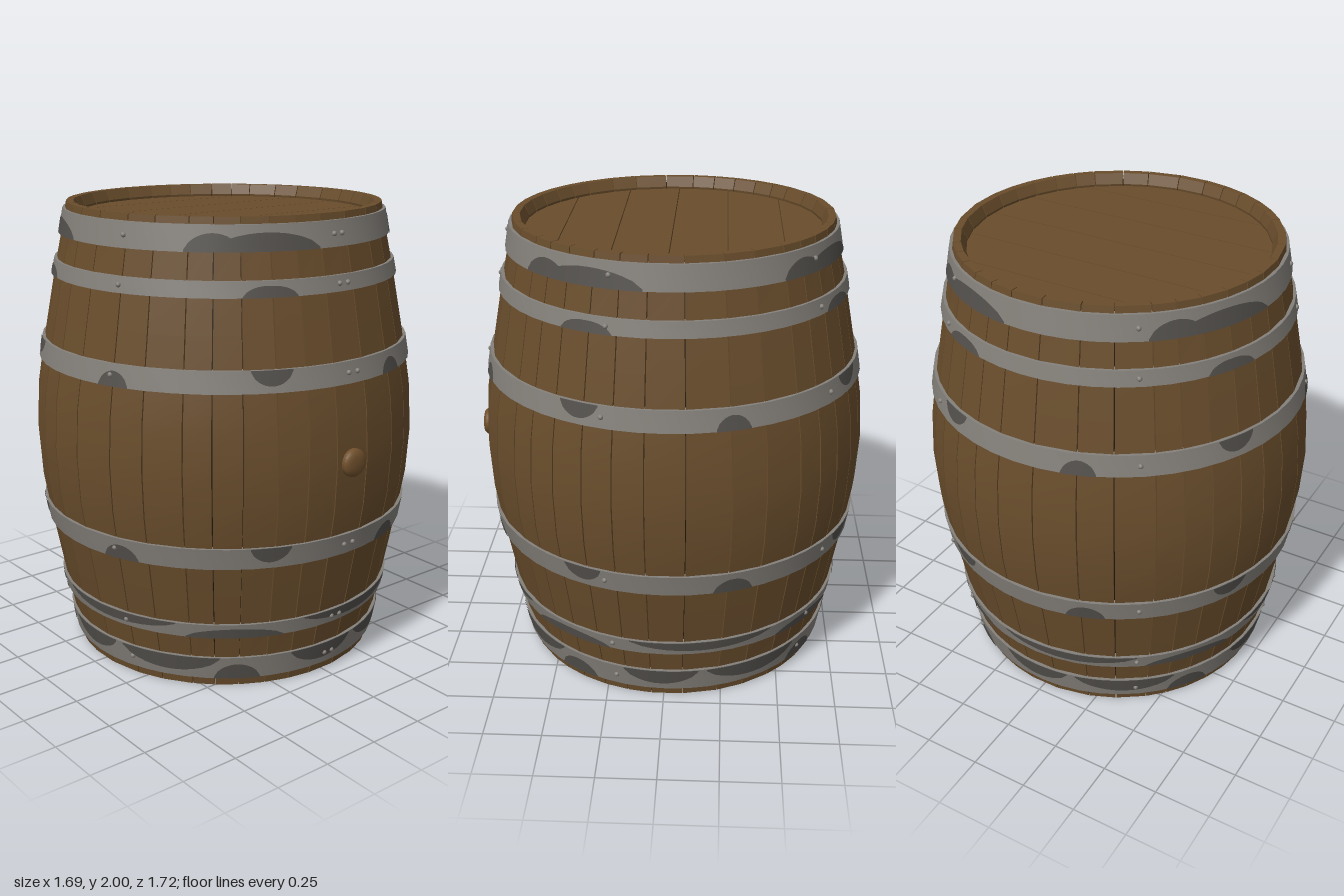
import * as THREE from 'three';
import { toCreasedNormals } from 'three/addons/utils/BufferGeometryUtils.js';

const mat = (name, color, side = THREE.FrontSide) => {
  const m = new THREE.MeshStandardMaterial({ color, side });
  m.name = name;
  return m;
};
const DEG = Math.PI / 180;

// Bulging side profile: distance from mid height -> radius
const PROFILE = [[0, 0.85], [0.2, 0.838], [0.37, 0.81], [0.72, 0.744], [0.9, 0.705], [1, 0.688]];
function radius(y) {
  const t = Math.min(1, Math.abs(y - 1));
  let i = 0;
  while (i < PROFILE.length - 2 && t > PROFILE[i + 1][0]) i++;
  const [t0, r0] = PROFILE[i], [t1, r1] = PROFILE[i + 1];
  return r0 + (r1 - r0) * (t - t0) / (t1 - t0);
}

// Stave: four-point sections (outer pair, inner pair) stacked upward
function staveGeometry(a0, a1) {
  const rows = [0, 0.045, 0.1, 0.28, 0.45, 0.63, 0.8, 0.9];
  const ys = [...rows, 1, ...rows.map((y) => 2 - y).reverse()];
  const pos = [], idx = [];
  for (const y of ys) {
    const outer = radius(y), inner = outer - (y === 0 || y === 2 ? 0.032 : 0.06);
    for (const [r, a] of [[outer, a0], [outer, a1], [inner, a1], [inner, a0]])
      pos.push(r * Math.sin(a), y, r * Math.cos(a));
  }
  for (let j = 0; j < ys.length - 1; j++)
    for (let k = 0; k < 4; k++) {
      const a = j * 4 + k, b = j * 4 + (k + 1) % 4;
      idx.push(a, b, b + 4, a, b + 4, a + 4);
    }
  const t = (ys.length - 1) * 4;
  idx.push(0, 2, 1, 0, 3, 2, t, t + 1, t + 2, t, t + 2, t + 3);
  const g = new THREE.BufferGeometry();
  g.setAttribute('position', new THREE.Float32BufferAttribute(pos, 3));
  g.setIndex(idx);
  return toCreasedNormals(g, 0.4);
}

// Lid plank: a slice of a disc between two z values
function plankGeometry(z0, z1, r) {
  const pts = [], n = 10;
  const half = (z) => Math.sqrt(Math.max(0, r * r - z * z));
  for (let i = 0; i <= n; i++) {
    const z = z0 + (z1 - z0) * i / n;
    pts.push(new THREE.Vector2(half(z), z));
  }
  for (let i = n; i >= 0; i--) {
    const z = z0 + (z1 - z0) * i / n;
    pts.push(new THREE.Vector2(-half(z), z));
  }
  const g = new THREE.ExtrudeGeometry(new THREE.Shape(pts), { depth: 0.04, bevelEnabled: false });
  return g.rotateX(-Math.PI / 2);
}

// Tarnish patch: curved plate on a hoop, tapering to nothing at both ends
function patchGeometry(y0, y1, thick, centre, half, fromTop) {
  const pos = [], idx = [], n = 12;
  for (let i = 0; i <= n; i++) {
    const u = i / n * 2 - 1, a = (centre + u * half) * DEG;
    const h = (y1 - y0) * (0.08 + 0.62 * Math.pow(1 - u * u, 0.7));
    const [lo, hi] = fromTop ? [y1 - h, y1] : [y0, y0 + h];
    for (const y of [lo, hi]) {
      const f = (y - y0) / (y1 - y0);
      const r = radius(y0) * (1 - f) + radius(y1) * f + thick + 0.002;
      pos.push(r * Math.sin(a), y, r * Math.cos(a));
    }
    if (i < n) idx.push(i * 2, i * 2 + 2, i * 2 + 3, i * 2, i * 2 + 3, i * 2 + 1);
  }
  const g = new THREE.BufferGeometry();
  g.setAttribute('position', new THREE.Float32BufferAttribute(pos, 3));
  g.setIndex(idx);
  g.computeVertexNormals();
  return g;
}

export function createModel() {
  const wood = mat('oak wood', 0x694d2c);
  const bungWood = mat('bung wood', 0x70502c);
  const seam = mat('dark seam', 0x1e160d, THREE.DoubleSide);
  const metal = mat('hoop metal', 0x84807a);
  const tarnish = mat('tarnished metal', 0x53504c, THREE.DoubleSide);

  const model = new THREE.Group();
  model.name = 'barrel';
  const add = (name, geometry, material, parent = model) => {
    const m = new THREE.Mesh(geometry, material);
    m.name = name;
    parent.add(m);
    return m;
  };
  const group = (name) => {
    const g = new THREE.Group();
    g.name = name;
    model.add(g);
    return g;
  };

  // Staves of uneven width, repeating every quarter turn
  const staves = group('staves');
  const widths = [11.4, 12.8, 10.3, 11.5, 8, 8.5, 9.5, 9, 9];
  let angle = -5.7;
  for (let q = 0; q < 4; q++)
    for (const w of widths) {
      add('stave', staveGeometry(angle * DEG + 0.003, (angle + w) * DEG - 0.003), wood, staves);
      angle += w;
    }

  // Dark lining seen through the gaps between staves
  const lining = [];
  for (let i = 0; i <= 16; i++) {
    const y = 0.03 + 1.94 * i / 16;
    lining.push(new THREE.Vector2(radius(y) - 0.026, y));
  }
  add('seamLining', new THREE.LatheGeometry(lining, 72), seam);

  // Recessed plank lids, top and bottom
  for (const [name, y] of [['topLid', 1.905], ['bottomLid', 0.055]]) {
    const lid = group(name);
    for (let k = -3; k < 3; k++) {
      const z0 = Math.max(-0.645, k * 0.231) + 0.002, z1 = Math.min(0.645, (k + 1) * 0.231) - 0.002;
      add('lidPlank', plankGeometry(z0, z1, 0.645), wood, lid).position.y = y;
    }
  }

  // Hoops: bottom, top, thickness, patches [centre, half width, from top edge]
  const hoops = [
    [1.868, 1.972, [[-25, 18, false], [48, 9, false]]],
    [1.695, 1.76, [[-26, 7, false], [66, 8, false]]],
    [1.33, 1.42, [[-25, 6, true], [19, 5, false]]],
    [0.588, 0.682, [[20, 6, false], [-25, 6, true]]],
    [0.25, 0.315, [[12, 24, true], [55, 16, false]]],
    [0.04, 0.145, [[-2, 13, true], [32, 18, true], [56, 8, false]]],
  ];
  const thick = 0.012;
  for (const [y0, y1, patches] of hoops) {
    const hoop = group('hoop');
    const r0 = radius(y0), r1 = radius(y1);
    const section = [[r0 - 0.02, y0], [r0 + thick, y0], [r1 + thick, y1], [r1 - 0.02, y1]];
    const ring = new THREE.LatheGeometry(section.map(([x, y]) => new THREE.Vector2(x, y)), 48);
    add('hoopBand', toCreasedNormals(ring, 0.6), metal, hoop);
    for (let q = 0; q < 4; q++)
      for (const [c, h, fromTop] of patches)
        add('tarnishPatch', patchGeometry(y0, y1, thick, c + q * 90, h, fromTop), tarnish, hoop);

    // Rivets: a pair at the front joint and singles every fifth of a turn
    const ym = (y0 + y1) / 2, rr = (r0 + r1) / 2 + thick;
    for (const a of [-0.8, 2.6, 72, 144, 216, 288]) {
      const rivet = add('rivet', new THREE.SphereGeometry(0.011, 10, 8), metal, hoop);
      rivet.position.set(rr * Math.sin(a * DEG), ym, rr * Math.cos(a * DEG));
    }
  }

  // Round bung on the front
  const bungProfile = [[0.046, 0.78], [0.06, 0.845], [0.06, 0.86], [0.05, 0.872], [0.03, 0.877], [0, 0.878]];
  const bung = new THREE.LatheGeometry(bungProfile.map(([x, y]) => new THREE.Vector2(x, y)), 24);
  add('bung', toCreasedNormals(bung.rotateX(Math.PI / 2), 0.7), bungWood).position.y = 1;

  // Balance the bung's overhang so the whole is centred
  for (const part of model.children) part.position.z -= 0.014;
  return model;
}
